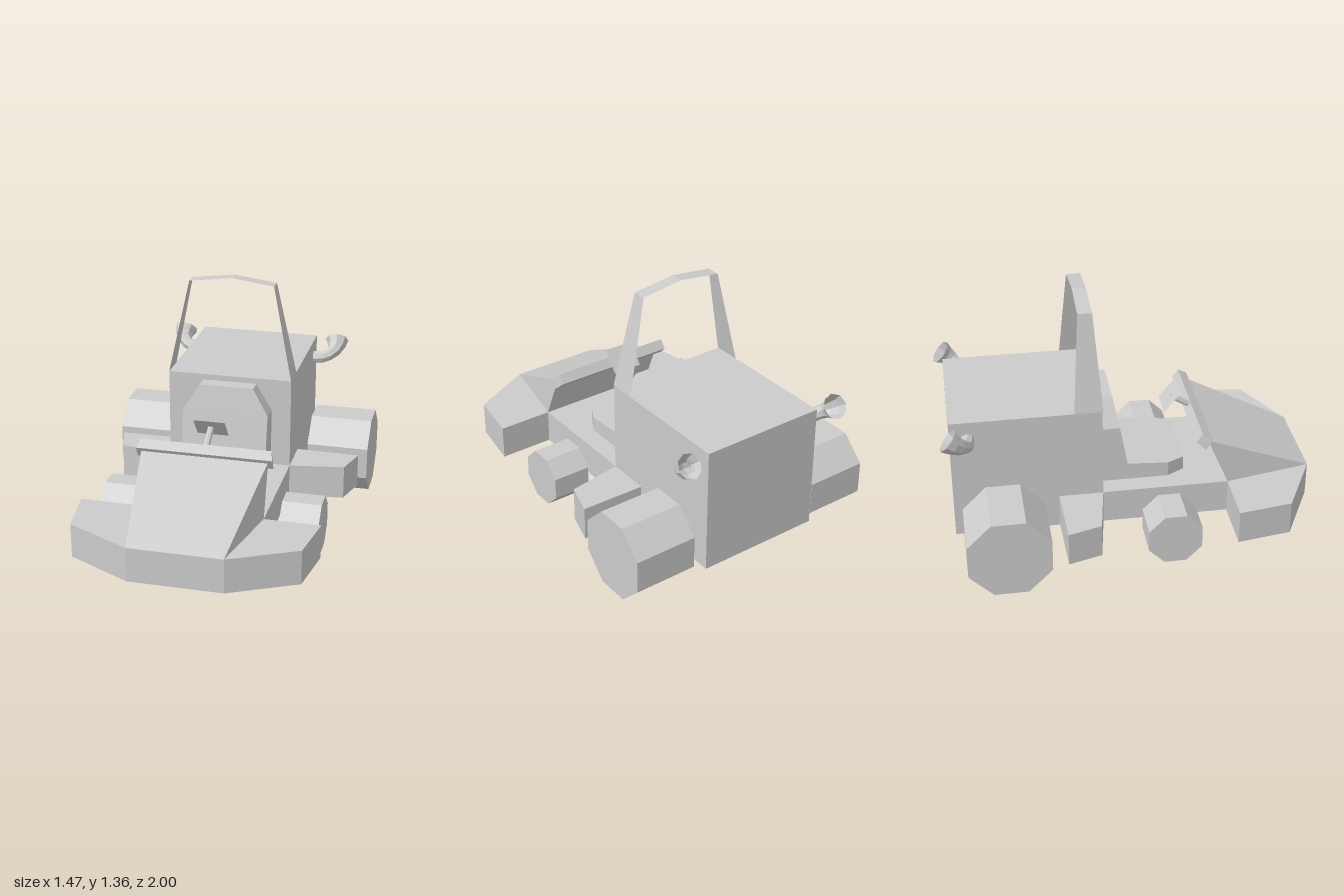
import * as THREE from 'three';
import { ConvexGeometry } from 'three/addons/geometries/ConvexGeometry.js';

const solid = new THREE.MeshStandardMaterial({ color: 0xcccccc, flatShading: true });
const thin = new THREE.MeshStandardMaterial({ color: 0xcccccc, flatShading: true, side: THREE.DoubleSide });

export function createModel() {
  const model = new THREE.Group();
  model.name = 'kart';

  const add = (name, geometry, material = solid) => {
    const mesh = new THREE.Mesh(geometry, material);
    mesh.name = name;
    model.add(mesh);
    return mesh;
  };

  // Convex block from right-hand corners [x, y, z], mirrored across x = 0
  const mirroredBlock = (name, corners) => add(name, new ConvexGeometry(
    corners.flatMap(([x, y, z]) => [new THREE.Vector3(x, y, z), new THREE.Vector3(-x, y, z)])));

  // Flat chassis with the bumper and side pods, half outline as [x, z]
  const half = [[0.25, 1], [0.6, 0.82], [0.645, 0.53], [0.345, 0.53], [0.345, -0.15],
    [0.645, -0.2], [0.697, -0.38], [0.345, -0.387], [0.345, -0.945]];
  const outline = [...half, ...half.map(([x, z]) => [-x, z]).reverse()];
  const chassis = new THREE.ExtrudeGeometry(
    new THREE.Shape(outline.map(([x, z]) => new THREE.Vector2(x, -z))),
    { depth: 0.187, bevelEnabled: false });
  chassis.rotateX(-Math.PI / 2).translate(0, 0.12, 0);
  add('chassis', chassis);

  // Engine box behind the seat
  add('engineBox', new THREE.BoxGeometry(0.69, 0.503, 0.795).translate(0, 0.5585, -0.5475));

  // Sloping nose
  mirroredBlock('nose', [[0.25, 0.307, 1], [0.345, 0.307, 0.53], [0.34, 0.575, 0.415]]);

  // Dashboard bar, narrower on the driver's side
  mirroredBlock('dashboard', [
    [0.35, 0.625, 0.383], [0.365, 0.592, 0.435], [0.365, 0.533, 0.4], [0.35, 0.578, 0.351]]);

  // Steering column and flat wheel share one tilted group
  const steering = new THREE.Group();
  steering.name = 'steering';
  steering.position.set(0, 0.672, 0.268);
  steering.rotation.x = -1.02;
  const column = new THREE.Mesh(new THREE.CylinderGeometry(0.018, 0.018, 0.13, 8), solid);
  column.name = 'steeringColumn';
  column.position.y = -0.065;
  const wheelPlate = new THREE.Mesh(new THREE.PlaneGeometry(0.17, 0.14).rotateX(Math.PI / 2), thin);
  wheelPlate.name = 'steeringWheel';
  // keep the plate tilted a little flatter than the column
  wheelPlate.rotation.x = 0.14;
  steering.add(column, wheelPlate);
  model.add(steering);

  // Seat cushion with clipped front corners, and tapered backrest
  mirroredBlock('seatCushion', [
    [0.238, 0.3, -0.15], [0.238, 0.3, 0.22], [0.185, 0.3, 0.315],
    [0.238, 0.405, -0.15], [0.238, 0.405, 0], [0.238, 0.39, 0.22], [0.185, 0.385, 0.315]]);
  mirroredBlock('backrest', [
    [0.238, 0.4, 0], [0.238, 0.635, -0.043], [0.15, 0.778, -0.07],
    [0.238, 0.4, -0.152], [0.238, 0.635, -0.152], [0.15, 0.778, -0.152]]);

  // Roll bar: thin strip through stations [x, y, front z, back z]
  const stations = [[0.345, 0.81, -0.145, -0.297], [0.235, 1.33, -0.184, -0.26], [0, 1.36, -0.186, -0.258],
    [-0.235, 1.33, -0.184, -0.26], [-0.345, 0.81, -0.145, -0.297]];
  const strip = new THREE.PlaneGeometry(1, 1, stations.length - 1, 1);
  stations.forEach(([x, y, front, back], i) => {
    strip.attributes.position.setXYZ(i, x, y, front);
    strip.attributes.position.setXYZ(i + stations.length, x, y, back);
  });
  strip.computeVertexNormals();
  add('rollBar', strip, thin);

  // Eight-sided wheels standing flat on the ground
  const addWheel = (name, side, inner, outer, apothem, z) => {
    const r = apothem / Math.cos(Math.PI / 8);
    const geometry = new THREE.CylinderGeometry(r, r, outer - inner, 8);
    geometry.rotateY(Math.PI / 8).rotateZ(Math.PI / 2);
    add(name, geometry).position.set(side * (inner + outer) / 2, apothem, z);
  };

  // Curved exhaust pipe, swept with a radius that flares at the mouth
  const addExhaust = (name, side) => {
    const curve = new THREE.CatmullRomCurve3([
      [0.32, 0.708, -0.852], [0.4, 0.711, -0.855], [0.45, 0.733, -0.88],
      [0.468, 0.762, -0.92], [0.465, 0.79, -0.953],
    ].map(([x, y, z]) => new THREE.Vector3(side * x, y, z)));
    const steps = 6, sides = 8;
    const tube = new THREE.TubeGeometry(curve, steps, 1, sides);
    const p = tube.attributes.position, v = new THREE.Vector3();
    for (let i = 0; i <= steps; i++) {
      const centre = curve.getPointAt(i / steps);
      const radius = 0.036 + 0.032 * Math.max(0, (i / steps - 0.5) * 2) ** 1.5;
      for (let j = 0; j <= sides; j++) {
        const k = i * (sides + 1) + j;
        v.fromBufferAttribute(p, k).sub(centre).multiplyScalar(radius).add(centre);
        p.setXYZ(k, v.x, v.y, v.z);
      }
    }
    tube.computeVertexNormals();
    add(name, tube, thin);
  };

  for (const [label, side] of [['left', 1], ['right', -1]]) {
    addWheel(label + 'RearWheel', side, 0.388, 0.737, 0.2175, -0.685);
    addWheel(label + 'FrontWheel', side, 0.387, 0.6, 0.143, 0.2);
    addExhaust(label + 'Exhaust', side);
  }

  return model;
}
